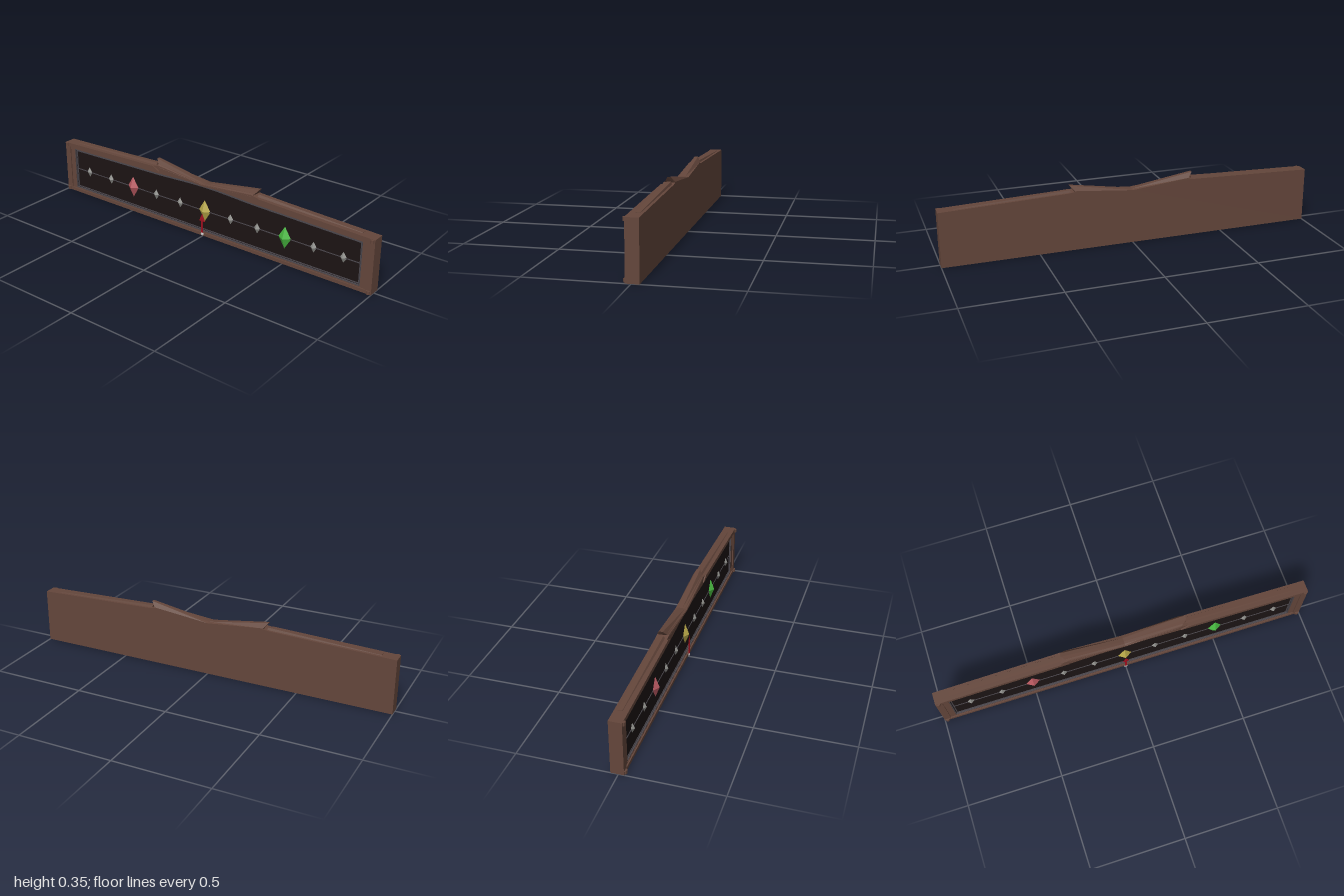
import * as THREE from 'three';

const mat = (color) => new THREE.MeshStandardMaterial({ color, flatShading: true });
const brown = mat(0x64463b), trim = mat(0x4a464c), black = mat(0x1c1414), grey = mat(0x8c8c88);
const BACK = 0.038;

// Extrudes a (z, y) outline from xBack towards the face at -x
function slab(name, outline, hole, xBack, xFront, material) {
  const toV = (pts) => pts.map(([z, y]) => new THREE.Vector2(z, y));
  const shape = new THREE.Shape(toV(outline));
  if (hole) shape.holes.push(new THREE.Path(toV(hole)));
  const geo = new THREE.ExtrudeGeometry(shape, { depth: xBack - xFront, bevelEnabled: false });
  geo.rotateY(-Math.PI / 2).translate(xBack, 0, 0);
  const mesh = new THREE.Mesh(geo, material);
  mesh.name = name;
  return mesh;
}

// Joins equal cross-sections ordered by rising z; each is a counter-clockwise loop of (x, y, z)
function loft(name, sections, material) {
  const n = sections[0].length, idx = [];
  for (let s = 0; s < sections.length - 1; s++) {
    for (let i = 0; i < n; i++) {
      const a = s * n + i, b = s * n + (i + 1) % n;
      idx.push(a, b, b + n, a, b + n, a + n);
    }
  }
  const last = (sections.length - 1) * n;
  for (let i = 1; i < n - 1; i++) idx.push(0, i + 1, i, last, last + i, last + i + 1);
  const geo = new THREE.BufferGeometry();
  geo.setAttribute('position', new THREE.Float32BufferAttribute(sections.flat(2), 3));
  geo.setIndex(idx);
  const flat = geo.toNonIndexed();
  flat.computeVertexNormals();
  const mesh = new THREE.Mesh(flat, material);
  mesh.name = name;
  return mesh;
}

// Arched panel outline, grown outward by t
function panelOutline(t) {
  const w = 0.925 + t, pts = [[-w, 0.032 - t], [w, 0.032 - t]];
  for (let i = 0; i <= 24; i++) {
    const z = w * (1 - i / 12);
    const hump = Math.abs(z) < 0.4 ? 0.5 + 0.5 * Math.cos(Math.PI * z / 0.4) : 0;
    pts.push([z, 0.262 - 0.012 * Math.max(0, Math.abs(z) - 0.4) / 0.525 + 0.014 * hump + t]);
  }
  return pts;
}

export function createModel() {
  const model = new THREE.Group();

  // Board with a shallow dip in the middle of its top edge
  const top = [[1, 0.29], [0.34, 0.311], [0.3, 0.317], [0, 0.289]];
  const mirrored = top.slice(0, 3).reverse().map(([z, y]) => [-z, y]);
  const outline = [[-1, 0], [1, 0], ...top, ...mirrored];
  model.add(slab('backBoard', outline, null, BACK, -0.008, brown));
  model.add(slab('frame', outline, panelOutline(0.01), -0.008, -0.021, brown));

  // Recessed panel and its stepped trim
  model.add(slab('panel', panelOutline(0.011), null, -0.007, -0.011, black));
  model.add(slab('outerTrim', panelOutline(0.0105), panelOutline(0.006), -0.011, -0.019, trim));
  model.add(slab('innerTrim', panelOutline(0.002), panelOutline(-0.003), -0.011, -0.014, trim));

  // Raised lips, corner blocks and top ridge, mirrored end to end
  model.add(slab('bottomLip', [[-1, 0], [1, 0], [1, 0.018], [-1, 0.018]], null, -0.02, -0.028, brown));
  for (const s of [-1, 1]) {
    const side = (pts) => {
      const p = pts.map(([z, y]) => [z * s, y]);
      return s < 0 ? p.reverse() : p;
    };
    model.add(slab('sideLip', side([[0.965, 0], [1, 0], [1, 0.29], [0.965, 0.291]]), null, -0.02, -0.027, brown));
    model.add(slab('topLip', side([[0.3, 0.289], [1, 0.269], [1, 0.29], [0.34, 0.311]]), null, -0.02, -0.028, brown));
    for (const y of [0.011, 0.28]) {
      const block = new THREE.Mesh(new THREE.CylinderGeometry(0.011, 0.011, 0.018, 8), brown);
      block.name = 'cornerBlock';
      block.position.set(-0.027, y, s * 0.985);
      model.add(block);
    }
    const ridge = (z, y) => [[0.03, y - 0.02, z], [0.022, y, z], [0, y, z], [-0.014, y - 0.02, z]];
    const ends = [ridge(s * 0.33, 0.323), ridge(s * 0.92, 0.295)];
    model.add(loft('topRidge', s < 0 ? ends.reverse() : ends, brown));
  }

  // Broken crest: chamfered section rising from the centre to both tips
  const tip = (s) => [
    [0.038, 0.3, s * 0.3], [0.038, 0.32, s * 0.31], [0.022, 0.347, s * 0.333],
    [0.003, 0.347, s * 0.333], [-0.01, 0.325, s * 0.315], [-0.022, 0.31, s * 0.3], [-0.022, 0.3, s * 0.3],
  ];
  const middle = [
    [0.038, 0.28, 0], [0.038, 0.289, 0], [0.022, 0.292, 0],
    [0.003, 0.292, 0], [-0.01, 0.291, 0], [-0.022, 0.288, 0], [-0.022, 0.28, 0],
  ];
  model.add(loft('crest', [tip(-1), middle, tip(1)], brown));

  // Scale line with small and large diamond markers
  const line = new THREE.Mesh(new THREE.BoxGeometry(0.004, 0.004, 1.85), trim);
  line.name = 'scaleLine';
  line.position.set(-0.012, 0.14, 0);
  model.add(line);
  const bigColors = { '-3': 0xb85860, 0: 0xb8a848, 3: 0x48b840 };
  for (let i = -5; i <= 5; i++) {
    const big = i % 3 === 0;
    const gem = new THREE.Mesh(new THREE.OctahedronGeometry(1), big ? mat(bigColors[i]) : grey);
    gem.name = big ? 'largeMarker' : 'smallMarker';
    gem.scale.set(big ? 0.023 : 0.014, big ? 0.06 : 0.029, big ? 0.037 : 0.019);
    gem.position.set(-0.011, 0.14, i / 6);
    model.add(gem);
  }

  // Red pointer standing on a small pale foot
  const red = mat(0xa01020);
  const pointer = new THREE.Group();
  pointer.name = 'pointer';
  const shaft = new THREE.Mesh(new THREE.BoxGeometry(0.004, 0.08, 0.01), red);
  shaft.position.y = 0.06;
  const head = new THREE.Mesh(new THREE.ConeGeometry(0.02, 0.045, 4), red);
  head.scale.x = 0.12;
  head.position.y = 0.11;
  const foot = new THREE.Mesh(new THREE.SphereGeometry(0.01, 8, 6), mat(0xcccccc));
  foot.scale.x = 0.4;
  foot.position.y = 0.014;
  pointer.add(shaft, head, foot);
  pointer.position.x = -0.034;
  model.add(pointer);

  return model;
}
